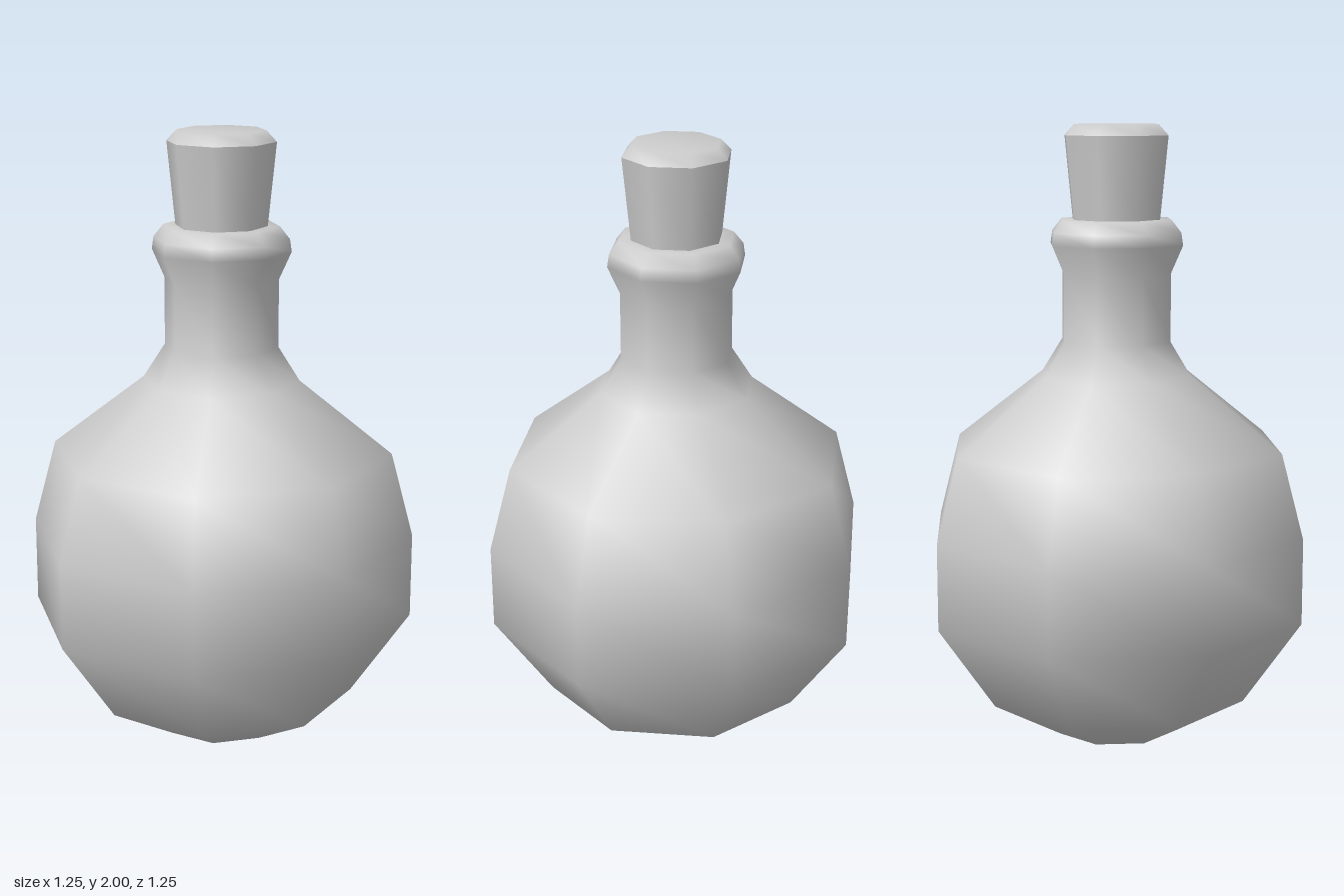
import * as THREE from 'three';

const SIDES = 8;
const TURN = -0.159; // the octagon sits slightly rotated about y

// Smooth eight-sided turned part from [radius, height] pairs, bottom to top
function turned(name, profile, material) {
  const points = profile.map(([r, y]) => new THREE.Vector2(r, y));
  const mesh = new THREE.Mesh(new THREE.LatheGeometry(points, SIDES, TURN), material);
  mesh.name = name;
  return mesh;
}

export function createModel() {
  const grey = new THREE.MeshStandardMaterial({ color: 0xcccccc });
  const model = new THREE.Group();
  model.name = 'corkedBottle';

  // Round flask body, neck and flared lip
  model.add(turned('bottle', [
    [0, 0], [0.207, 0], [0.44, 0.13], [0.632, 0.41], [0.632, 0.69],
    [0.558, 0.965], [0.255, 1.2], [0.185, 1.31], [0.185, 1.53],
    [0.225, 1.62], [0.219, 1.66], [0.187, 1.7], [0.13, 1.7],
  ], grey));

  // Tapered cork with a chamfered cap, split so the rim stays sharp
  const cork = new THREE.Group();
  cork.name = 'cork';
  cork.add(
    turned('corkSide', [[0.146, 1.66], [0.148, 1.7], [0.175, 1.965]], grey),
    turned('corkTop', [[0.175, 1.965], [0.142, 2], [0, 2]], grey),
  );
  model.add(cork);

  return model;
}
